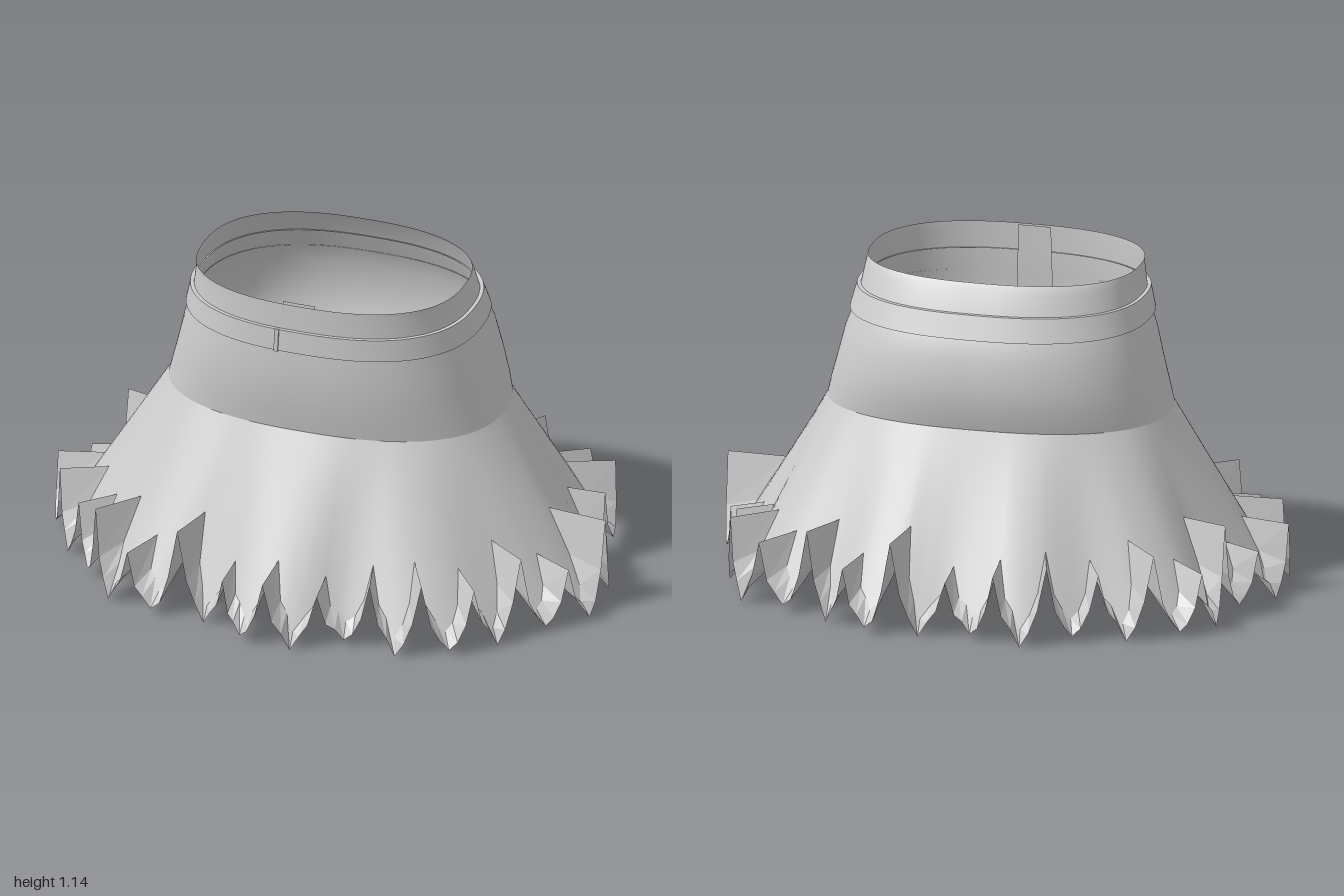
import * as THREE from 'three';
import { toCreasedNormals } from 'three/addons/utils/BufferGeometryUtils.js';

const TEETH = 30, STEPS = 6, N = TEETH * STEPS;
const WAIST_Y = 0.65;

// Wavy hem outline (x, z), from centre front round to centre back; mirrored for the other half
const half = [[0, 0.775], [0.1, 0.75], [0.25, 0.665], [0.48, 0.67], [0.64, 0.6], [0.79, 0.42], [0.92, 0.27], [1, 0.08],
  [0.94, -0.1], [0.88, -0.22], [0.85, -0.44], [0.73, -0.57], [0.5, -0.64], [0.34, -0.75], [0.21, -0.78], [0.1, -0.75], [0, -0.73]];
const outline = [...half.map(([x, z]) => [-x, z]), ...half.slice(1, -1).reverse()];
const hem = new THREE.CatmullRomCurve3(outline.map(([x, z]) => new THREE.Vector3(x, 0, z)), true)
  .getSpacedPoints(N).slice(0, N);
const wrap = (i) => (i + N) % N;

// Rounded-rectangle ring: half width, front z, back z, at height y
function ringPoint(i, [y, hx, zf, zb]) {
  const p = hem[wrap(i)];
  const a = Math.atan2(p.z / 0.775, p.x);
  const soft = (v) => Math.sign(v) * Math.abs(v) ** 0.82;
  return new THREE.Vector3(hx * soft(Math.cos(a)), y, (zf + zb) / 2 + (zf - zb) / 2 * soft(Math.sin(a)));
}

// Surface through rows (top to bottom) of points
function loft(rows, closed = true) {
  const n = rows[0].length, index = [];
  for (let r = 0; r < rows.length - 1; r++) {
    for (let i = 0; i < (closed ? n : n - 1); i++) {
      const j = (i + 1) % n, a = r * n, b = a + n;
      index.push(a + i, a + j, b + i, a + j, b + j, b + i);
    }
  }
  const g = new THREE.BufferGeometry().setFromPoints(rows.flat());
  g.setIndex(index);
  g.computeVertexNormals();
  return g;
}

const around = (fn) => Array.from({ length: N }, (_, i) => fn(i));

// Yoke sections: y, half width, front z, back z
const yoke = [[1.145, 0.475, 0.4, -0.29], [1.12, 0.478, 0.4, -0.315], [1.05, 0.49, 0.4, -0.345], [0.97, 0.51, 0.4, -0.385],
  [0.9, 0.535, 0.405, -0.415], [0.8, 0.56, 0.4, -0.427], [0.72, 0.582, 0.388, -0.42], [WAIST_Y, 0.6, 0.375, -0.4]];

// Flared panel, t = 0 at the yoke and 1 at the hem outline
function flarePoint(i, t) {
  const p = ringPoint(i, yoke[yoke.length - 1]).lerp(hem[wrap(i)], t);
  p.y = WAIST_Y * (1 - t);
  return p;
}

// Ragged hem height at each column
const peaks = [0.25, 0.2, 0.34, 0.22, 0.31, 0.24, 0.28];
function hemY(i) {
  const k = Math.floor(i / STEPS);
  const peak = peaks[k % 7], next = peaks[((k + 1) % TEETH) % 7];
  return [peak, peak * 0.48, 0.055, k % 2 ? 0.005 : 0.03, 0.07, next * 0.45][i % STEPS];
}
const cutY = (i) => hemY(i) * 0.85 + 0.055;

export function createModel() {
  const group = new THREE.Group();
  const cloth = new THREE.MeshStandardMaterial({ color: 0xcccccc, side: THREE.DoubleSide });
  cloth.name = 'light grey cloth';
  const add = (name, geometry) => {
    const mesh = new THREE.Mesh(geometry, cloth);
    mesh.name = name;
    group.add(mesh);
  };

  add('yoke', loft(yoke.map((s) => around((i) => ringPoint(i, s)))));

  // Flare, ending in the zigzag cut
  const flareRows = [];
  for (let r = 0; r <= 8; r++) {
    flareRows.push(around((i) => flarePoint(i, (r / 8) * (1 - cutY(i) / WAIST_Y))));
  }
  add('flare', loft(flareRows));

  // Faceted strip pushed out from the cut to the hem outline
  const strip = loft([
    around((i) => flarePoint(i, 1 - cutY(i) / WAIST_Y)),
    around((i) => hem[i].clone().setY(hemY(i))),
  ]).toNonIndexed();
  strip.computeVertexNormals();
  add('raggedHem', strip);

  // Waistband standing slightly proud of the yoke
  const band = [[1.05, 0.485, 0.395, -0.34], [1.05, 0.503, 0.413, -0.36], [0.97, 0.523, 0.416, -0.395], [0.97, 0.508, 0.4, -0.383]];
  add('waistband', toCreasedNormals(loft(band.map((s) => around((i) => ringPoint(i, s)))), 0.6));

  // Overlapping facing inside the front opening
  const columns = [-2, -1, 0, 1, 2, 3];
  const inset = (p) => p.multiply(new THREE.Vector3(1, 1, 0.95));
  const facing = yoke.map((s) => columns.map((i) => inset(ringPoint(i, s))));
  for (let r = 1; r <= 5; r++) facing.push(columns.map((i) => inset(flarePoint(i, r * 0.13))));
  add('frontFacing', loft(facing, false));

  // Small loop at the waistband closure
  const loop = new THREE.BoxGeometry(0.015, 0.085, 0.012);
  loop.rotateZ(-0.04).translate(-0.08, 1.01, 0.413);
  add('waistbandLoop', loop);

  return group;
}
